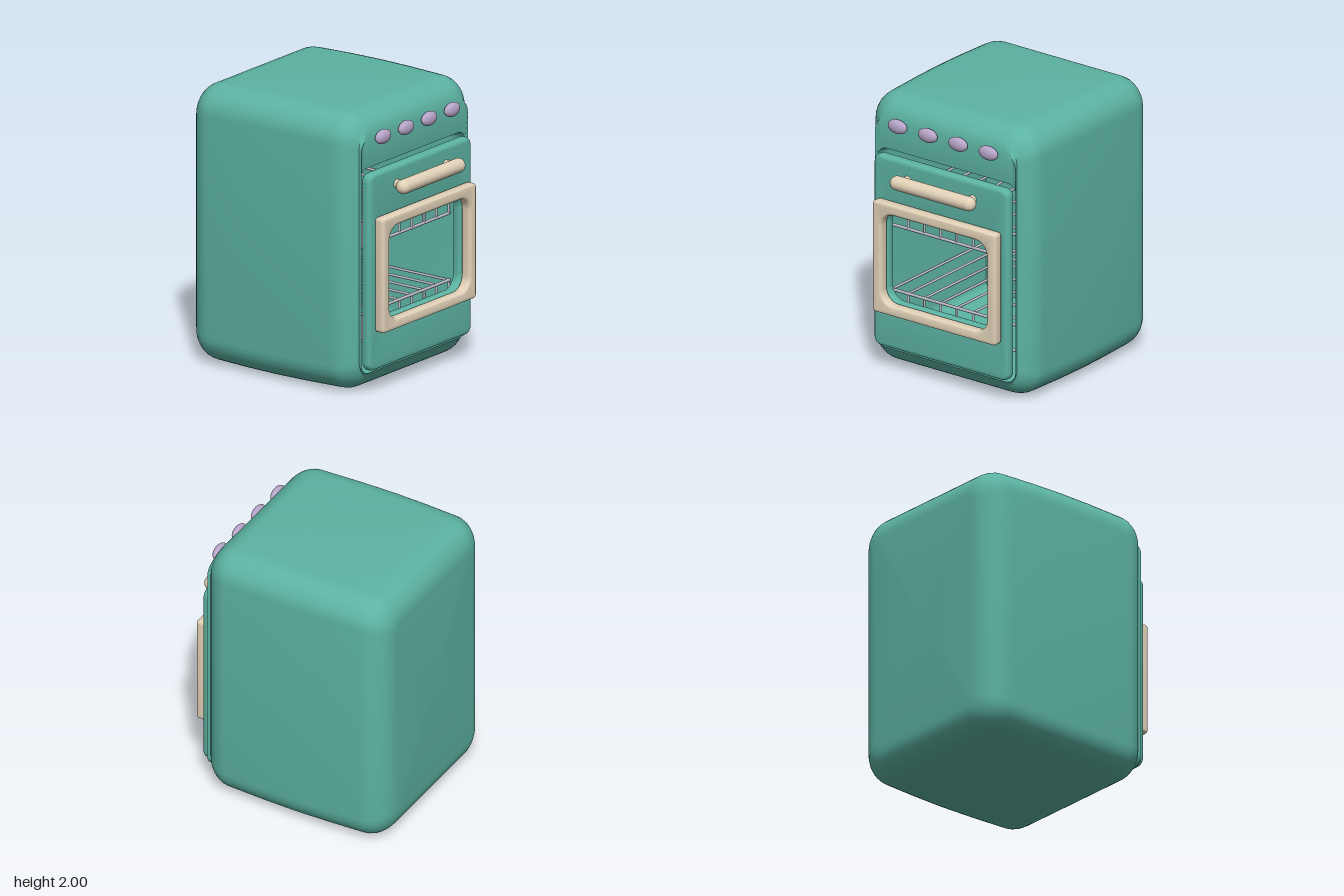
import * as THREE from 'three';
import { toCreasedNormals } from 'three/addons/utils/BufferGeometryUtils.js';

const mat = (color) => new THREE.MeshStandardMaterial({ color });
const teal = mat(0x5cb3a2), cream = mat(0xe2d2b8), lilac = mat(0xb7a5c9), steel = mat(0xb9b9c1);

function add(parent, name, geometry, material, x = 0, y = 0, z = 0) {
  const mesh = new THREE.Mesh(geometry, material);
  mesh.name = name;
  mesh.position.set(x, y, z);
  parent.add(mesh);
  return mesh;
}

// Rounded rectangle ring, anticlockwise seen from the front
function ring([w, h, r, cy, z], seg = 8) {
  const pts = [];
  [[1, 1], [-1, 1], [-1, -1], [1, -1]].forEach(([sx, sy], q) => {
    for (let i = 0; i <= seg; i++) {
      const a = (q + i / seg) * Math.PI / 2;
      pts.push(sx * (w - r) + r * Math.cos(a), cy + sy * (h - r) + r * Math.sin(a), z);
    }
  });
  return pts;
}

function loft(sections) {
  const rings = sections.map((s) => ring(s));
  const n = rings[0].length / 3, index = [];
  for (let i = 0; i < rings.length - 1; i++) {
    for (let j = 0; j < n; j++) {
      const k = (j + 1) % n, a = i * n, b = a + n;
      index.push(a + j, b + j, b + k, a + j, b + k, a + k);
    }
  }
  const g = new THREE.BufferGeometry();
  g.setAttribute('position', new THREE.Float32BufferAttribute(rings.flat(), 3));
  g.setIndex(index);
  return toCreasedNormals(g, 0.7);
}

function roundedPath(path, w, h, r) {
  const p = ring([w, h, r, 0, 0]);
  for (let i = 0; i < p.length; i += 3) path[i ? 'lineTo' : 'moveTo'](p[i], p[i + 1]);
  path.closePath();
  return path;
}

// Rounded slab with a window hole, bevelled on all edges
function windowSlab(w, h, r, holeY, depth, bevel) {
  const shape = roundedPath(new THREE.Shape(), w, h, r);
  const hole = roundedPath(new THREE.Path(), 0.455, 0.335, 0.1);
  shape.holes.push(new THREE.Path(hole.getPoints().map((p) => new THREE.Vector2(p.x, p.y + holeY))));
  const g = new THREE.ExtrudeGeometry(shape, {
    depth: depth - 2 * bevel, bevelThickness: bevel, bevelSize: bevel, bevelOffset: -bevel, bevelSegments: 5,
  });
  g.translate(0, 0, bevel);
  return toCreasedNormals(g, 0.7);
}

function rod(parent, name, from, to, radius) {
  const a = new THREE.Vector3(...from), b = new THREE.Vector3(...to);
  const m = add(parent, name, new THREE.CylinderGeometry(radius, radius, a.distanceTo(b), 10), steel);
  m.position.copy(a).add(b).multiplyScalar(0.5);
  m.quaternion.setFromUnitVectors(new THREE.Vector3(0, 1, 0), b.sub(a).normalize());
}

function createRack(y) {
  const rack = new THREE.Group();
  rack.name = 'ovenRack';
  const front = 0.5, back = -0.55, drop = 0.19, w = 0.57;
  rod(rack, 'frontRail', [-w, y, front], [w, y, front], 0.011);
  rod(rack, 'backRail', [-w, y, back], [w, y, back], 0.011);
  rod(rack, 'lowerFrontRail', [-w, y - drop, front], [w, y - drop, front], 0.011);
  for (let i = -4; i <= 4; i++) {
    const x = i * 0.14;
    rod(rack, 'depthRod', [x, y, back], [x, y, front], 0.009);
    rod(rack, 'uprightRod', [x, y - drop, front], [x, y, front], 0.009);
  }
  return rack;
}

export function createModel() {
  const model = new THREE.Group();
  model.name = 'oven';

  // Body: cavity from its back wall to the lip, then around the soft outer shell
  const sections = [
    [0.001, 0.001, 0.0005, 0.875, -0.6],
    [0.59, 0.725, 0.07, 0.875, -0.6],
    [0.59, 0.725, 0.07, 0.875, 0.59],
    [0.598, 0.733, 0.075, 0.875, 0.612],
    [0.604, 0.84, 0.08, 0.985, 0.632],
  ];
  const R = 0.2, steps = 8;
  const shell = (t, zEdge, dir) => {
    const d = R * (1 - Math.sin(t));
    sections.push([0.7 - d, 0.992 - d, Math.max(0.06, 0.2 - d * 0.7), 1, zEdge - dir * R * (1 - Math.cos(t))]);
  };
  for (let i = 0; i <= steps; i++) shell(0.52 + (Math.PI / 2 - 0.52) * i / steps, 0.634, 1);
  sections.push([0.707, 0.998, 0.2, 1, 0.15], [0.71, 1, 0.2, 1, -0.1], [0.707, 0.998, 0.2, 1, -0.35]);
  for (let i = steps; i >= 0; i--) shell(Math.PI / 2 * i / steps, -0.815, -1);
  sections.push([0.001, 0.001, 0.0005, 1, -0.825]);
  add(model, 'body', loft(sections), teal);

  // Door with its window surround
  add(model, 'door', windowSlab(0.58, 0.708, 0.06, -0.017, 0.082, 0.03), teal, 0, 0.877, 0.606);
  add(model, 'windowFrame', windowSlab(0.53, 0.412, 0.025, -0.002, 0.08, 0.02), cream, 0, 0.862, 0.686);

  // Handle
  const handle = new THREE.Group();
  handle.name = 'handle';
  model.add(handle);
  const bar = add(handle, 'handleBar', new THREE.CapsuleGeometry(0.051, 0.618, 10, 24), cream, 0, 1.455, 0.77);
  bar.rotation.z = Math.PI / 2;
  for (const x of [-0.28, 0.28]) {
    const post = add(handle, 'handlePost', new THREE.CylinderGeometry(0.032, 0.032, 0.1, 20), cream, x, 1.455, 0.72);
    post.rotation.x = Math.PI / 2;
  }

  // Control knobs
  for (let i = 0; i < 4; i++) {
    const knob = add(model, 'knob', new THREE.SphereGeometry(1, 28, 18), lilac, -0.392 + i * 0.261, 1.815, 0.658);
    knob.scale.set(0.08, 0.051, 0.034);
  }

  // Two racks inside the cavity
  model.add(createRack(1.19), createRack(0.52));
  return model;
}
